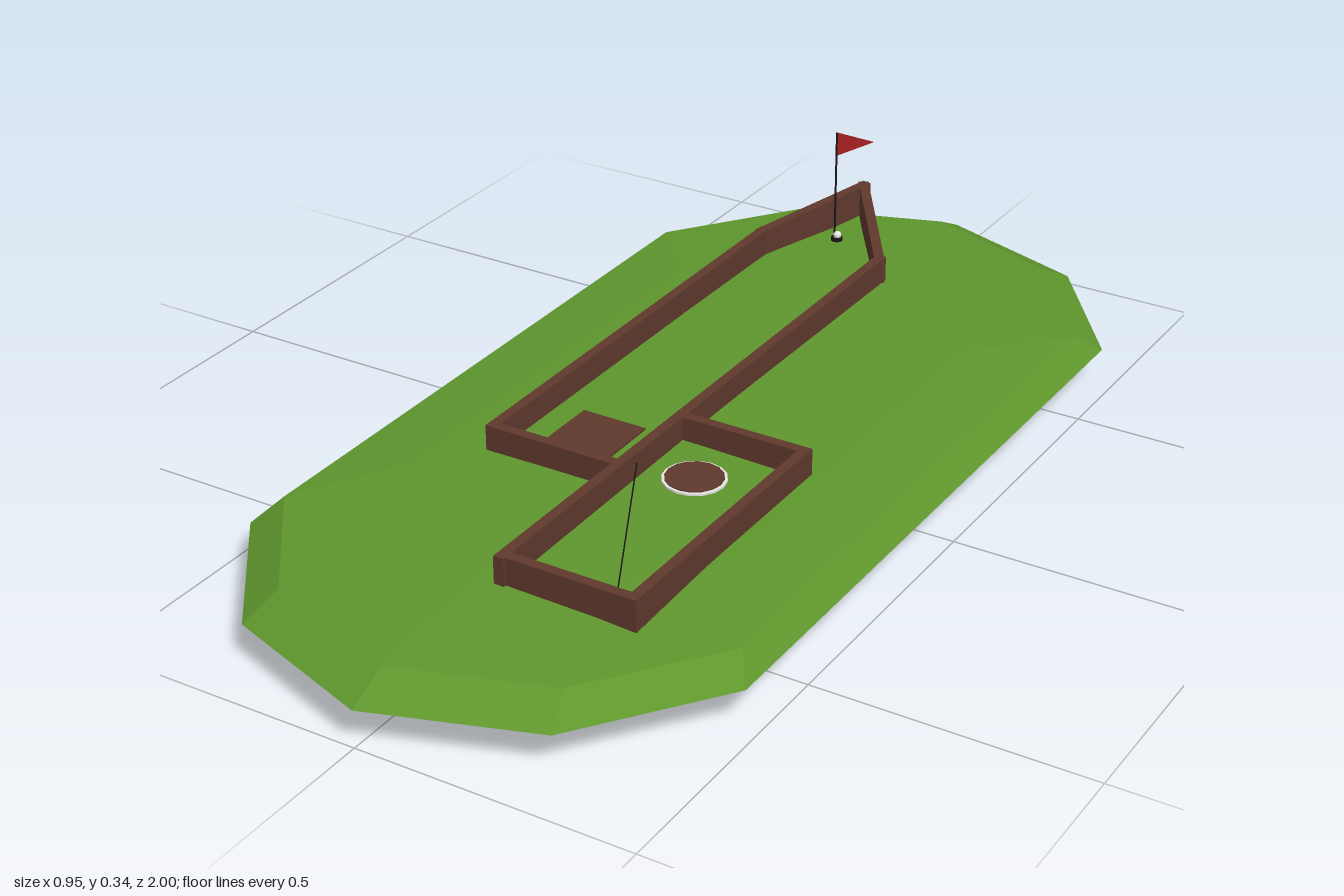
import * as THREE from 'three';

const mat = (name, color, extra = {}) =>
  Object.assign(new THREE.MeshStandardMaterial({ color, ...extra }), { name });

export function createModel() {
  const grass = mat('grass green', 0x5f962d, { flatShading: true });
  const brown = mat('wood brown', 0x5f392d);
  const white = mat('white', 0xf0f0ee);
  const black = mat('black', 0x181616);
  const red = mat('flag red', 0xa82222, { side: THREE.DoubleSide });

  const model = new THREE.Group();
  const add = (name, geometry, material, x = 0, y = 0, z = 0) => {
    const mesh = new THREE.Mesh(geometry, material);
    mesh.name = name;
    mesh.position.set(x, y, z);
    model.add(mesh);
    return mesh;
  };

  // Faceted island: one outline scaled through several heights
  const outline = [
    [0, 1], [0.29, 0.9], [0.475, 0.65], [0.475, -0.65], [0.29, -0.9],
    [0, -1], [-0.29, -0.9], [-0.475, -0.65], [-0.475, 0.65], [-0.29, 0.9],
  ];
  const levels = [ // [scale, y], underside to top
    [0, 0], [0.6, 0.01], [0.89, 0.034], [1, 0.068], [0.925, 0.105], [0.65, 0.121], [0, 0.128],
  ];
  const n = outline.length;
  const positions = [];
  const index = [];
  levels.forEach(([s, y]) => outline.forEach(([x, z]) => positions.push(x * s, y, z * s)));
  for (let k = 0; k < levels.length - 1; k++) {
    for (let i = 0; i < n; i++) {
      const a = k * n + i, b = k * n + (i + 1) % n;
      if (levels[k][0] > 0) index.push(a, b, b + n);
      if (levels[k + 1][0] > 0) index.push(a, b + n, a + n);
    }
  }
  const island = new THREE.BufferGeometry();
  island.setAttribute('position', new THREE.Float32BufferAttribute(positions, 3));
  island.setIndex(index);
  const ground = island.toNonIndexed();
  ground.computeVertexNormals();
  add('ground', ground, grass);

  // Wooden borders around the course
  const T = 0.019;
  const wall = ([x1, z1], [x2, z2]) => {
    const length = Math.hypot(x2 - x1, z2 - z1) + T;
    const mesh = add('borderWall', new THREE.BoxGeometry(T, 0.06, length), brown,
      (x1 + x2) / 2, 0.14, (z1 + z2) / 2);
    mesh.rotation.y = Math.atan2(x2 - x1, z2 - z1);
  };
  const paths = [
    [[0.036, 0.315], [-0.215, 0.315], [-0.215, -0.59], [-0.15, -0.88], [0.036, -0.595], [0.036, 0.655]],
    [[0.036, 0.12], [0.277, 0.12], [0.277, 0.65], [0.036, 0.65]],
  ];
  paths.forEach((p) => p.slice(1).forEach((end, i) => wall(p[i], end)));

  // Square obstacle and round tee with a white rim
  add('squarePatch', new THREE.BoxGeometry(0.125, 0.02, 0.125), brown, -0.09, 0.12, 0.195);
  add('teeRim', new THREE.CylinderGeometry(0.056, 0.056, 0.02, 16), white, 0.13, 0.118, 0.23);
  add('teePatch', new THREE.CylinderGeometry(0.051, 0.051, 0.02, 16), brown, 0.13, 0.12, 0.23);

  // Hole flag
  const fx = -0.13, fz = -0.725;
  add('holeCup', new THREE.CylinderGeometry(0.011, 0.011, 0.02, 12), black, fx + 0.005, 0.112, fz);
  add('ball', new THREE.SphereGeometry(0.008, 12, 8), white, fx + 0.006, 0.126, fz);
  add('flagPole', new THREE.CylinderGeometry(0.002, 0.002, 0.23, 8), black, fx, 0.225, fz);
  const pennant = new THREE.Shape([
    new THREE.Vector2(0, 0.292), new THREE.Vector2(0.073, 0.317), new THREE.Vector2(0, 0.341),
  ]);
  add('flag', new THREE.ShapeGeometry(pennant), red, fx, 0, fz).rotation.y = Math.atan2(0.045, 0.057);

  // Leaning club
  const foot = new THREE.Vector3(0.217, 0.128, 0.605);
  const grip = new THREE.Vector3(0.217, 0.334, 0.543);
  add('clubShaft', new THREE.TubeGeometry(new THREE.LineCurve3(foot, grip), 1, 0.0013, 6), black);
  add('clubHead', new THREE.BoxGeometry(0.03, 0.012, 0.008), black, 0.23, 0.129, 0.605);

  return model;
}
